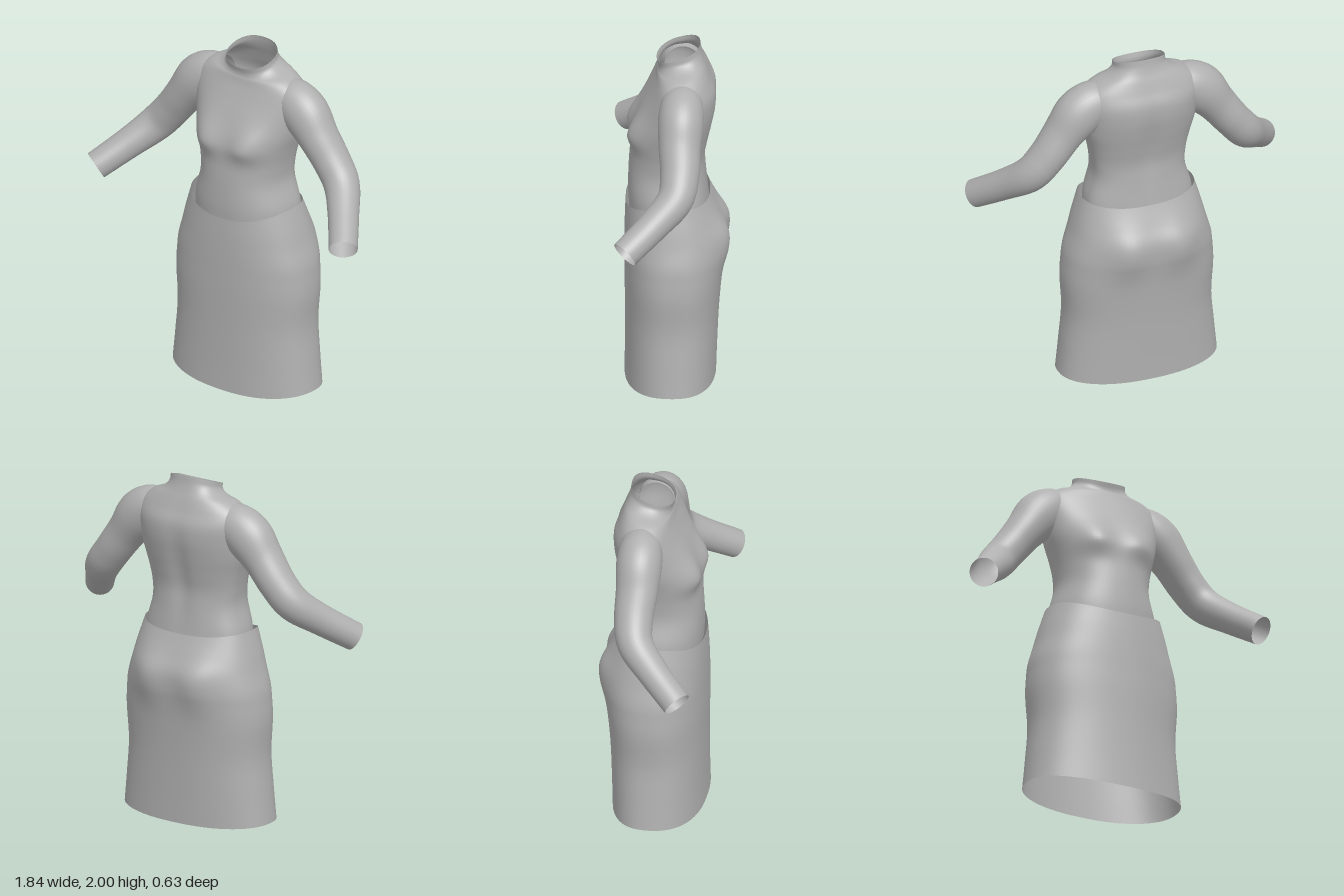
import * as THREE from 'three';

const cloth = new THREE.MeshStandardMaterial({ color: 0xb0b0b0, side: THREE.DoubleSide });
cloth.name = 'grey cloth';

// Smoothly resample a short table of sections into count + 1 sections
function resample(rows, count) {
  const size = rows[0].length;
  const spline = new THREE.CubicInterpolant(rows.map((_, i) => i), rows.flat(), size, new Float32Array(size));
  return Array.from({ length: count + 1 }, (_, i) =>
    Array.from(spline.evaluate(Math.min((i / count) * (rows.length - 1), rows.length - 1))));
}

// Skin a stack of closed rings; point(section, angle, index) gives [x, y, z]
function loft(sections, sides, point) {
  const pos = [], index = [];
  sections.forEach((s, i) => {
    for (let j = 0; j < sides; j++) pos.push(...point(s, (j / sides) * Math.PI * 2, i));
  });
  for (let i = 0; i < sections.length - 1; i++) {
    for (let j = 0; j < sides; j++) {
      const k = (j + 1) % sides;
      const a = i * sides + j, b = i * sides + k, c = a + sides, d = b + sides;
      index.push(a, c, b, b, c, d);
    }
  }
  const g = new THREE.BufferGeometry();
  g.setAttribute('position', new THREE.Float32BufferAttribute(pos, 3));
  g.setIndex(index);
  g.computeVertexNormals();
  return g;
}

const bell = (v, mid, width) => Math.exp(-(((v - mid) / width) ** 2));
const power = (v, n) => Math.sign(v) * Math.abs(v) ** (2 / n);

// Rounded outline with its own front and back depth
function outline(angle, halfWidth, front, back, mid, n) {
  const s = Math.sin(angle);
  const x = halfWidth * power(Math.cos(angle), n);
  const z = mid + (s > 0 ? front - mid : mid - back) * power(s, n);
  return { x, z, s };
}

// Bodice: y, half width, front z, back z, neckline tilt
const bodiceRows = [
  [1.02, 0.31, 0.24, -0.205, 0],
  [1.12, 0.302, 0.245, -0.195, 0],
  [1.25, 0.266, 0.242, -0.185, 0],
  [1.35, 0.27, 0.235, -0.182, 0],
  [1.45, 0.29, 0.225, -0.2, 0],
  [1.55, 0.318, 0.2, -0.222, 0],
  [1.65, 0.335, 0.165, -0.24, 0],
  [1.74, 0.345, 0.125, -0.24, 0],
  [1.81, 0.33, 0.097, -0.212, 0.005],
  [1.86, 0.265, 0.085, -0.19, 0.015],
  [1.89, 0.19, 0.08, -0.172, 0.03],
  [1.92, 0.152, 0.08, -0.16, 0.04],
  [1.955, 0.145, 0.088, -0.153, 0.045],
];

function bodicePoint([y, w, front, back, tilt], angle) {
  const p = outline(angle, w, front, back, -0.03, 2.3);
  if (p.s > 0) {
    // Bust: fuller above, tighter below
    const rise = bell(y, 1.49, y < 1.49 ? 0.075 : 0.12);
    p.z += 0.052 * p.s * rise * (bell(p.x, 0.15, 0.11) + bell(p.x, -0.15, 0.11));
  } else {
    // Spine groove
    p.z += 0.018 * bell(p.x, 0, 0.055) * bell(y, 1.45, 0.28);
  }
  return [p.x, y - tilt * p.s, p.z];
}

// Skirt: y, half width, front z, back z, edge dip at front, edge dip at back
const skirtRows = [
  [0.03, 0.463, 0.265, -0.24, 0.03, 0.015],
  [0.2, 0.445, 0.262, -0.246, 0.02, 0.01],
  [0.4, 0.427, 0.262, -0.256, 0, 0],
  [0.6, 0.437, 0.265, -0.272, 0, 0],
  [0.72, 0.43, 0.265, -0.283, 0, 0],
  [0.8, 0.419, 0.265, -0.288, 0, 0],
  [0.9, 0.39, 0.264, -0.283, 0.01, 0],
  [1.0, 0.364, 0.262, -0.25, 0.035, 0.01],
  [1.12, 0.328, 0.258, -0.206, 0.068, 0.02],
];

function skirtPoint([y, w, front, back, dipFront, dipBack], angle) {
  const p = outline(angle, w, front, back, 0, 2.3);
  // Seat: two soft swells
  if (p.s < 0) p.z += 0.04 * p.s * bell(y, 0.86, 0.15) * (bell(p.x, 0.16, 0.12) + bell(p.x, -0.16, 0.12));
  return [p.x, y - (p.s > 0 ? dipFront : dipBack) * p.s * p.s, p.z];
}

// Sleeve: centre x, y, z, radius in the frontal plane, radius in depth
const sleeveRows = [
  [0.2, 1.765, -0.055, 0.095, 0.1],
  [0.29, 1.735, -0.05, 0.128, 0.12],
  [0.37, 1.675, -0.045, 0.136, 0.126],
  [0.455, 1.57, -0.04, 0.112, 0.116],
  [0.545, 1.45, -0.04, 0.103, 0.108],
  [0.635, 1.34, -0.012, 0.1, 0.1],
  [0.735, 1.235, 0.105, 0.087, 0.087],
  [0.852, 1.117, 0.262, 0.08, 0.08],
];

function sleeve(side) {
  const sections = resample(sleeveRows, 42);
  const centres = sections.map((s) => new THREE.Vector3(s[0], s[1], s[2]));
  return loft(sections, 32, (s, angle, i) => {
    const dir = centres[Math.min(i + 1, 42)].clone().sub(centres[Math.max(i - 1, 0)]).normalize();
    const up = new THREE.Vector3(0, 0, 1).cross(dir).normalize();
    const depth = dir.clone().cross(up);
    const p = centres[i].clone()
      .addScaledVector(up, s[3] * Math.cos(angle))
      .addScaledVector(depth, -side * s[4] * Math.sin(angle));
    return [side * p.x, p.y, p.z];
  });
}

export function createModel() {
  const model = new THREE.Group();
  model.name = 'dress';
  const add = (name, geometry) => {
    const mesh = new THREE.Mesh(geometry, cloth);
    mesh.name = name;
    model.add(mesh);
  };
  add('bodice', loft(resample(bodiceRows, 72), 80, bodicePoint));
  add('skirt', loft(resample(skirtRows, 56), 80, skirtPoint));
  add('leftSleeve', sleeve(1));
  add('rightSleeve', sleeve(-1));
  return model;
}
